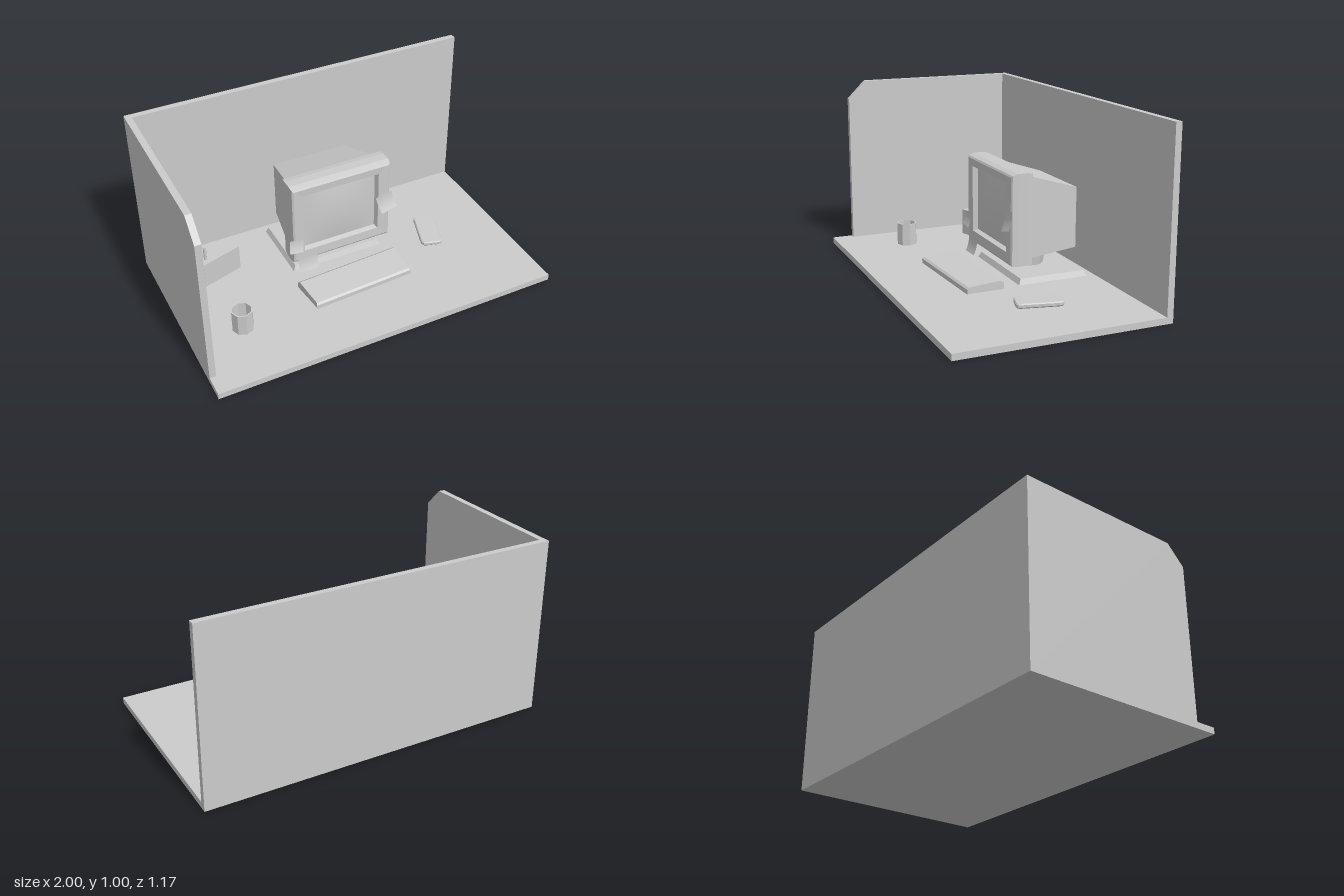
import * as THREE from 'three';

const flat = new THREE.MeshStandardMaterial({ color: 0xcccccc, flatShading: true });
const flatDouble = new THREE.MeshStandardMaterial({ color: 0xcccccc, flatShading: true, side: THREE.DoubleSide });
const smooth = new THREE.MeshStandardMaterial({ color: 0xcccccc, side: THREE.DoubleSide });

const DESK_TOP = 0.035;

// Joins rectangles [z, x0, x1, y0, y1], ordered back to front, and caps both ends.
function loftRects(sections) {
  const rings = sections.map(([z, x0, x1, y0, y1]) => [[x0, y0, z], [x1, y0, z], [x1, y1, z], [x0, y1, z]]);
  const pos = [];
  const quad = (a, b, c, d) => pos.push(...a, ...b, ...c, ...a, ...c, ...d);
  for (let i = 0; i < rings.length - 1; i++) {
    for (let j = 0; j < 4; j++) {
      const k = (j + 1) % 4;
      quad(rings[i][j], rings[i][k], rings[i + 1][k], rings[i + 1][j]);
    }
  }
  quad(...rings[0].slice().reverse());
  quad(...rings[rings.length - 1]);
  const geo = new THREE.BufferGeometry();
  geo.setAttribute('position', new THREE.Float32BufferAttribute(pos, 3));
  geo.computeVertexNormals();
  return geo;
}

// Paper note stuck at its top edge, curling forward towards the bottom.
function noteGeometry(w, h, curl) {
  const geo = new THREE.PlaneGeometry(w, h, 1, 6);
  const p = geo.attributes.position;
  for (let i = 0; i < p.count; i++) {
    const t = 0.5 - p.getY(i) / h;
    p.setZ(i, curl * t * t);
  }
  geo.computeVertexNormals();
  return geo;
}

export function createModel() {
  const root = new THREE.Group();

  function add(name, geo, x = 0, y = 0, z = 0, parent = root, mat = flat) {
    const mesh = new THREE.Mesh(geo, mat);
    mesh.name = name;
    mesh.position.set(x, y, z);
    parent.add(mesh);
    return mesh;
  }
  function group(name) {
    const g = new THREE.Group();
    g.name = name;
    root.add(g);
    return g;
  }

  // Desk and cubicle walls
  add('deskTop', new THREE.BoxGeometry(2, DESK_TOP, 1.17), 0, DESK_TOP / 2, 0);
  add('backWall', new THREE.BoxGeometry(2, 0.97, 0.035), 0, 0.52, -0.5675);
  const side = new THREE.Shape([[0.55, 0.035], [0.55, 1.005], [-0.36, 1.005], [-0.465, 0.9], [-0.465, 0.035]]
    .map(([x, y]) => new THREE.Vector2(x, y)));
  const sideGeo = new THREE.ExtrudeGeometry(side, { depth: 0.035, bevelEnabled: false });
  sideGeo.rotateY(Math.PI / 2);
  add('sideWall', sideGeo, -1, 0, 0);

  // Monitor: bezel with recess, tapered rear housing, bulging screen
  const monitor = group('monitor');
  add('bezel', loftRects([
    [-0.163, -0.285, 0.28, 0.16, 0.64],
    [-0.157, -0.298, 0.296, 0.15, 0.647],
    [-0.125, -0.302, 0.3, 0.147, 0.652],
    [-0.07, -0.302, 0.3, 0.147, 0.652],
    [-0.04, -0.298, 0.296, 0.15, 0.642],
    [-0.034, -0.288, 0.286, 0.16, 0.632],
    [-0.036, -0.232, 0.226, 0.213, 0.59],
    [-0.065, -0.222, 0.216, 0.222, 0.58]
  ]), 0, 0, 0, monitor);
  add('rearHousing', loftRects([
    [-0.457, -0.225, 0.222, 0.19, 0.53],
    [-0.155, -0.278, 0.268, 0.175, 0.625]
  ]), 0, 0, 0, monitor);
  const screenGeo = new THREE.PlaneGeometry(0.438, 0.358, 10, 10);
  const sp = screenGeo.attributes.position;
  for (let i = 0; i < sp.count; i++) {
    const u = sp.getX(i) / 0.219, v = sp.getY(i) / 0.179;
    sp.setZ(i, 0.014 * (1 - u * u) * (1 - v * v));
  }
  screenGeo.computeVertexNormals();
  add('screen', screenGeo, -0.003, 0.401, -0.064, monitor, smooth);

  // Monitor stand
  add('standNeck', new THREE.CylinderGeometry(0.105, 0.085, 0.13, 8), 0, 0.125, -0.275, monitor)
    .rotation.y = Math.PI / 8;
  const plate = loftRects([
    [0.035, -0.28, 0.28, 0.09, 0.5],
    [0.066, -0.265, 0.265, 0.105, 0.485]
  ]);
  plate.rotateX(-Math.PI / 2);
  add('standBase', plate, 0, 0, 0, monitor);

  // Sticky notes: x, y, width, height, tilt, curl
  [
    [-0.285, 0.268, 0.082, 0.076, -0.13, 0.018],
    [0.27, 0.393, 0.1, 0.1, 0.26, 0.03],
    [-0.217, 0.13, 0.118, 0.088, 0.02, 0.022]
  ].forEach(([x, y, w, h, tilt, curl]) => {
    add('stickyNote', noteGeometry(w, h, curl), x, y, -0.032, monitor, smooth).rotation.z = tilt;
  });

  // Keyboard: wedge, higher at the back
  add('keyboard', loftRects([
    [-0.105, -0.308, 0.308, 0.036, 0.07],
    [-0.085, -0.306, 0.306, 0.035, 0.084],
    [0.095, -0.296, 0.296, 0.035, 0.07],
    [0.106, -0.302, 0.302, 0.035, 0.06]
  ]), -0.002, 0, 0.13).rotation.y = 0.05;

  // Desk box with antenna
  const box = new THREE.BoxGeometry(0.245, 0.155, 0.088);
  add('deskBox', box, -0.668, 0.1125, -0.27).rotation.y = 0.287;
  add('antenna', new THREE.CylinderGeometry(0.009, 0.009, 0.09, 8), -0.745, 0.227, -0.243);

  // Hollow eight-sided cup
  const cup = [[0, 0], [0.06, 0], [0.06, 0.13], [0.052, 0.13], [0.052, 0.012], [0, 0.012]]
    .map(([x, y]) => new THREE.Vector2(x, y));
  add('cup', new THREE.LatheGeometry(cup, 8), -0.71, DESK_TOP, 0.2, root, flatDouble);

  // Rounded handset lying on the desk
  const w = 0.058, h = 0.12, r = 0.025;
  const outline = new THREE.Shape();
  outline.moveTo(-w + r, -h);
  outline.lineTo(w - r, -h);
  outline.quadraticCurveTo(w, -h, w, -h + r);
  outline.lineTo(w, h - r);
  outline.quadraticCurveTo(w, h, w - r, h);
  outline.lineTo(-w + r, h);
  outline.quadraticCurveTo(-w, h, -w, h - r);
  outline.lineTo(-w, -h + r);
  outline.quadraticCurveTo(-w, -h, -w + r, -h);
  const handset = new THREE.ExtrudeGeometry(outline, {
    depth: 0.014, bevelThickness: 0.006, bevelSize: 0.005, bevelSegments: 1, curveSegments: 3
  });
  handset.rotateX(-Math.PI / 2 + 0.03);
  add('handset', handset, 0.58, 0.044, -0.058).rotation.y = -0.3;

  return root;
}
